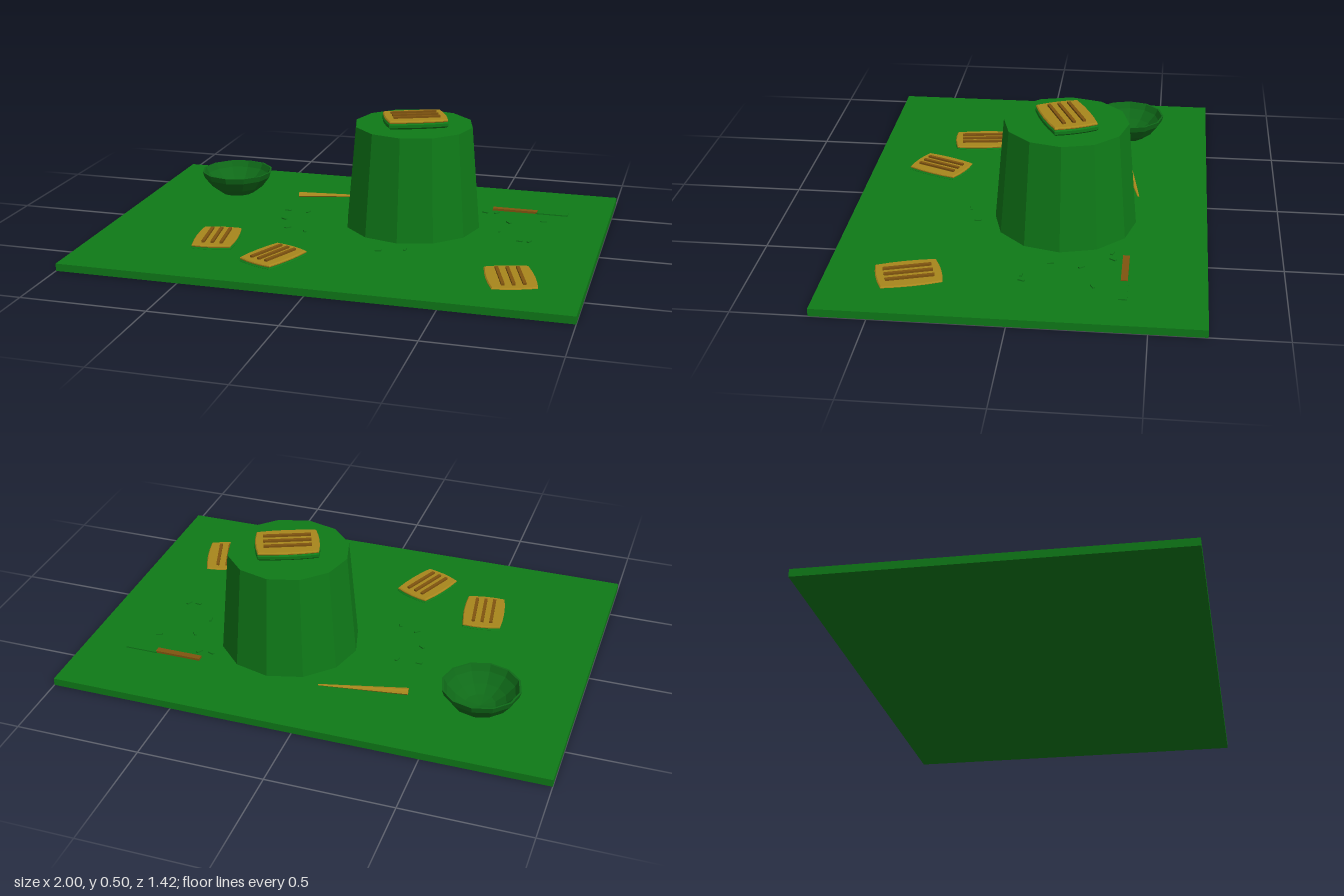
import * as THREE from 'three';

const mat = (color, side = THREE.FrontSide) =>
  new THREE.MeshStandardMaterial({ color, flatShading: true, side });
const green = mat(0x0f7a18);
const bowlGreen = mat(0x0f6a18, THREE.DoubleSide);
const tan = mat(0xa8861c);
const brown = mat(0x80540f);

function add(parent, name, geometry, material, x = 0, y = 0, z = 0) {
  const mesh = new THREE.Mesh(geometry, material);
  mesh.name = name;
  mesh.position.set(x, y, z);
  parent.add(mesh);
  return mesh;
}

// Rectangle with softly bowed sides, extruded upward from y = 0
function bowedSlab(length, width, height, bow, bevel) {
  const a = length / 2 - bevel, b = width / 2 - bevel;
  const s = new THREE.Shape();
  s.moveTo(-a, -b);
  s.quadraticCurveTo(0, -b - bow, a, -b);
  s.quadraticCurveTo(a + bow, 0, a, b);
  s.quadraticCurveTo(0, b + bow, -a, b);
  s.quadraticCurveTo(-a - bow, 0, -a, -b);
  const g = new THREE.ExtrudeGeometry(s, {
    depth: height - 2 * bevel, bevelEnabled: bevel > 0, bevelSize: bevel,
    bevelThickness: bevel, bevelSegments: 1, curveSegments: 4,
  });
  g.translate(0, 0, bevel);
  return g.rotateX(-Math.PI / 2);
}

// Ridged cracker: rounded base, thin tan top and three raised bars
function cracker(x, y, z, degrees, length, width) {
  const group = new THREE.Group();
  group.name = 'cracker';
  add(group, 'crackerBase', bowedSlab(length, width, 0.028, 0.015, 0.008), green);
  add(group, 'crackerTop', bowedSlab(length - 0.004, width - 0.004, 0.012, 0.015, 0.004), tan, 0, 0.024, 0);
  for (const i of [-1, 0, 1]) {
    add(group, 'crackerBar', new THREE.BoxGeometry(length * 0.78, 0.012, 0.013), brown, 0, 0.038, i * width * 0.23);
  }
  group.position.set(x, y, z);
  group.rotation.y = THREE.MathUtils.degToRad(degrees);
  return group;
}

export function createModel() {
  const model = new THREE.Group();
  model.name = 'tableScene';

  add(model, 'board', new THREE.BoxGeometry(2, 0.03, 1.424), green, 0, 0.015, 0);

  // Upturned tub
  add(model, 'tub', new THREE.CylinderGeometry(0.245, 0.282, 0.428, 12), green, 0.21, 0.242, -0.147);

  // Crackers: one on the tub, three on the board
  model.add(
    cracker(0.215, 0.455, -0.147, 23, 0.245, 0.178),
    cracker(-0.5, 0.011, 0.284, 98, 0.228, 0.16),
    cracker(-0.213, 0.011, 0.424, 66.5, 0.222, 0.158),
    cracker(0.714, 0.0, 0.398, -72.5, 0.236, 0.178),
  );

  // Open bowl with outer and inner wall
  const profile = [[0, 0.028], [0.07, 0.028], [0.115, 0.062], [0.148, 0.105], [0.156, 0.13],
    [0.148, 0.13], [0.135, 0.105], [0.1, 0.07], [0.06, 0.045], [0, 0.036]];
  add(model, 'bowl', new THREE.LatheGeometry(profile.map(([r, y]) => new THREE.Vector2(r, y)), 12),
    bowlGreen, -0.645, 0, -0.362);

  // Tapered stick lying down, thick end to the right of the model
  const stick = add(model, 'taperedStick',
    new THREE.CylinderGeometry(0.004, 0.019, 0.355, 8).rotateZ(-Math.PI / 2).scale(1, 0.6, 1),
    tan, -0.183, 0.037, -0.397);
  stick.rotation.y = 0.19;

  // Knife: handle and flat blade
  add(model, 'knifeHandle', new THREE.BoxGeometry(0.19, 0.01, 0.026), brown, 0.6, 0.034, -0.404);
  add(model, 'knifeBlade', new THREE.BoxGeometry(0.135, 0.006, 0.032), green, 0.758, 0.032, -0.404);

  // Scattered crumbs
  const crumbs = [[-0.34, -0.155], [-0.25, -0.155], [-0.32, -0.04], [-0.27, 0.065], [-0.19, 0.09],
    [0.16, 0.24], [0.26, 0.2], [0.48, -0.35], [0.53, -0.355], [0.6, -0.24], [0.74, -0.29],
    [0.58, -0.12], [0.68, -0.02], [0.72, -0.025]];
  crumbs.forEach(([x, z], i) => {
    const crumb = add(model, 'crumb', new THREE.BoxGeometry(0.026, 0.006, 0.01), green, x, 0.032, z);
    crumb.rotation.y = i * 1.3;
  });

  return model;
}
